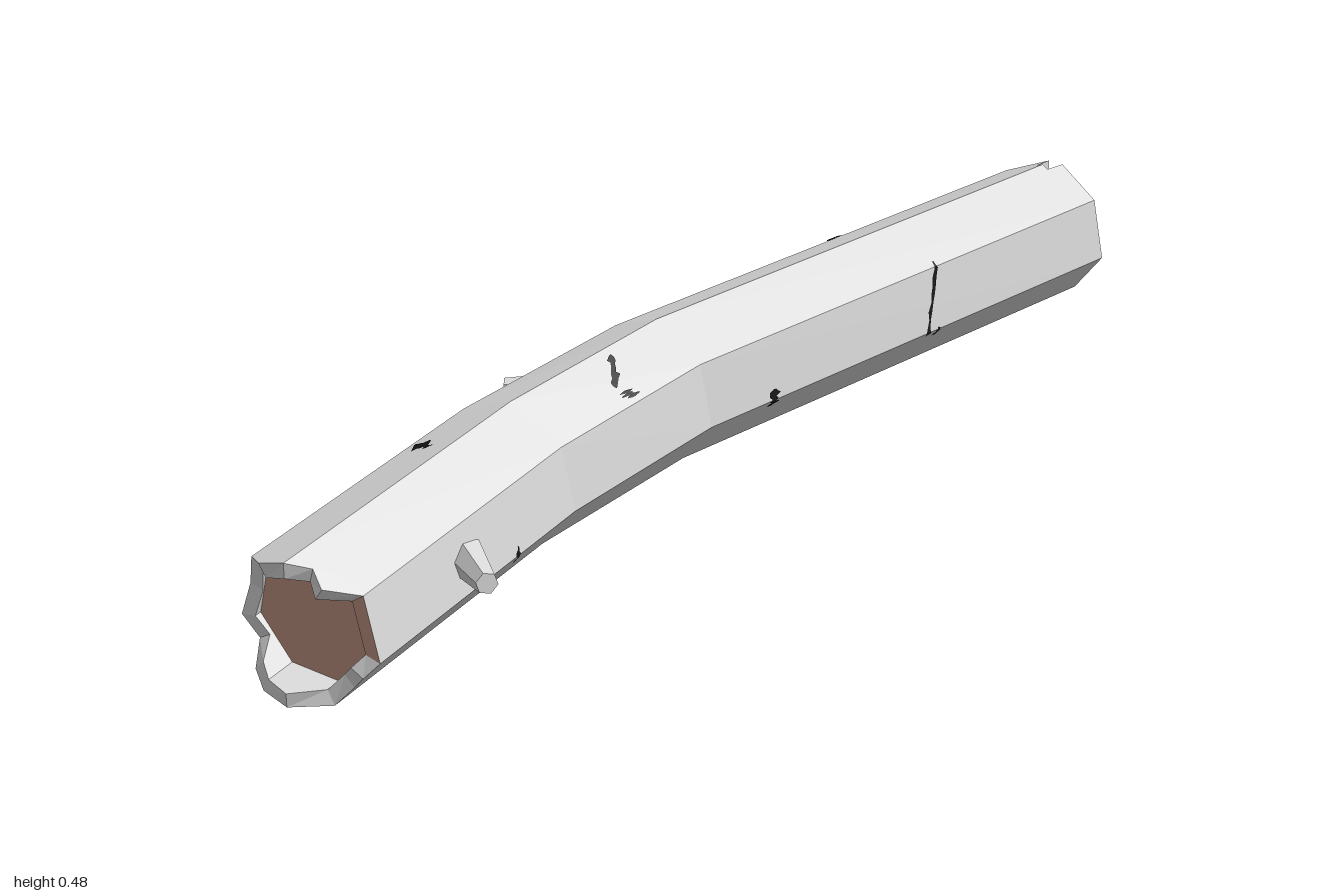
import * as THREE from 'three';

const SIDES = 7, RADIUS = 0.138, INNER = 0.79;
const V = (x, y, z) => new THREE.Vector3(x, y, z);

// Centre line of the bent log, from the model's right end to its left end
const path = [V(-0.93, 0.143, 0.14), V(-0.425, 0.209, -0.04), V(-0.06, 0.257, -0.112), V(0.92, 0.355, -0.153)];

// A frame for each ring: tangent t, horizontal side s, upward u
const frames = path.map((p, i) => {
  const t = V(0, 0, 0);
  if (i > 0) t.add(p.clone().sub(path[i - 1]).normalize());
  if (i < path.length - 1) t.add(path[i + 1].clone().sub(p).normalize());
  t.normalize();
  const s = V(-t.z, 0, t.x).normalize();
  return { p, t, s, u: s.clone().cross(t) };
});

// Point on ring i; w counts corners around the ring (fractions lie on the edges)
function ringPoint(i, w, scale = 1, along = 0) {
  const f = frames[i], k = Math.floor(w);
  const corner = (n) => {
    const a = THREE.MathUtils.degToRad(33 - (n * 360) / SIDES);
    return f.p.clone().addScaledVector(f.s, Math.cos(a) * RADIUS * scale)
      .addScaledVector(f.u, Math.sin(a) * RADIUS * scale);
  };
  return corner(k).lerp(corner(k + 1), w - k).addScaledVector(f.t, along);
}

// Point on the bark between rings, by distance along x
function barkPoint(x, w, scale) {
  let i = 0;
  while (i < 2 && x > ringPoint(i + 1, w).x) i++;
  const a = ringPoint(i, w, scale), b = ringPoint(i + 1, w, scale);
  return a.clone().lerp(b, (x - a.x) / (b.x - a.x));
}

function quad(out, a, b, c, d) {
  for (const v of [a, b, c, a, c, d]) out.push(v.x, v.y, v.z);
}

function meshOf(name, positions, material) {
  const g = new THREE.BufferGeometry();
  g.setAttribute('position', new THREE.Float32BufferAttribute(positions, 3));
  g.computeVertexNormals();
  const m = new THREE.Mesh(g, material);
  m.name = name;
  return m;
}

export function createModel() {
  const group = new THREE.Group();
  group.name = 'log';
  const make = (name, color) => {
    const m = new THREE.MeshStandardMaterial({ color, flatShading: true, side: THREE.DoubleSide });
    m.name = name;
    return m;
  };
  const bark = make('pale bark', 0xdcdcdc);
  const wood = make('cut wood', 0xc99b89);
  const dark = make('dark bark scar', 0x151515);

  // Trunk walls
  const walls = [];
  for (let i = 0; i < path.length - 1; i++) {
    for (let k = 0; k < SIDES; k++) {
      quad(walls, ringPoint(i, k), ringPoint(i, k + 1), ringPoint(i + 1, k + 1), ringPoint(i + 1, k));
    }
  }
  group.add(meshOf('trunk', walls, bark));

  // Broken rim and recessed wood face at each end; rim pairs are [corner, length]
  function addEnd(side, ring, dir, rim) {
    const lip = [], torn = [];
    rim.forEach(([w0, l0], j) => {
      const last = j === rim.length - 1;
      const w1 = last ? rim[0][0] + SIDES : rim[j + 1][0];
      const l1 = last ? rim[0][1] : rim[j + 1][1];
      const p = (w, sc, l) => ringPoint(ring, w, sc, l * dir);
      const strip = (out, a, b, c, d) => (dir > 0 ? quad(out, a, b, c, d) : quad(out, d, c, b, a));
      const o0 = p(w0, 1, l0), o1 = p(w1, 1, l1), n0 = p(w0, INNER, l0), n1 = p(w1, INNER, l1);
      strip(lip, p(w0, 1, 0), p(w1, 1, 0), o1, o0);
      strip(lip, n0, n1, p(w1, INNER, 0), p(w0, INNER, 0));
      strip(l0 + l1 < 0.012 ? torn : lip, o0, o1, n1, n0);
    });
    group.add(meshOf(side + 'BrokenRim', lip, bark), meshOf(side + 'TornWood', torn, wood));

    const face = [], c = frames[ring].p.clone().addScaledVector(frames[ring].t, 0.002 * dir);
    for (let k = 0; k < SIDES; k++) {
      const a = ringPoint(ring, k, INNER, 0.002 * dir), b = ringPoint(ring, k + 1, INNER, 0.002 * dir);
      for (const v of dir > 0 ? [c, b, a] : [c, a, b]) face.push(v.x, v.y, v.z);
    }
    group.add(meshOf(side + 'WoodFace', face, wood));
  }
  addEnd('left', 3, 1, [
    [0, 0.04], [1, 0.042], [2, 0.05], [2.82, 0.055], [2.84, 0.004], [3, 0.004], [3.12, 0.004], [3.14, 0.075],
    [3.4, 0.05], [4, 0.015], [5, 0.015], [5.84, 0.04], [5.86, 0.004], [6, 0.004], [6.12, 0.004], [6.14, 0.045],
  ]);
  addEnd('right', 0, -1, [
    [0, 0.004], [1, 0.004], [1.3, 0.02], [1.6, 0.015], [2, 0.03], [2.5, 0.075], [3, 0.06], [3.3, 0.05],
    [3.6, 0.01], [4, 0.015], [4.5, 0.004], [5, 0.012], [5.4, 0.045], [6, 0.06], [6.3, 0.03], [6.6, 0.05],
  ]);

  // Branch stubs
  function addStub(name, from, to, r0, r1) {
    const dir = to.clone().sub(from);
    const m = new THREE.Mesh(new THREE.CylinderGeometry(r1, r0, dir.length(), 6), bark);
    m.position.copy(from).lerp(to, 0.5);
    m.quaternion.setFromUnitVectors(V(0, 1, 0), dir.normalize());
    m.name = name;
    group.add(m);
  }
  addStub('frontBranchStub', V(-0.655, 0.183, 0.16), V(-0.692, 0.187, 0.277), 0.034, 0.019);
  addStub('backBranchStub', V(-0.19, 0.265, -0.17), V(-0.297, 0.268, -0.255), 0.034, 0.018);

  // Ragged dark scars lying on the bark: [x start, x end, corner start, corner end, half width]
  let seed = 7;
  const rand = () => (seed = (seed * 16807) % 2147483647) / 2147483647;
  const scars = [
    [0.525, 0.49, -0.1, 1.05, 0.005], [0.105, 0.108, 0.82, 1.15, 0.011], [-0.54, -0.545, 0.85, 1.2, 0.005],
    [-0.21, -0.235, -0.85, -0.35, 0.009], [-0.61, -0.605, -1.85, -1.4, 0.013], [0.45, 0.455, -2.2, -1.85, 0.011],
    [-0.225, -0.22, -0.25, -0.1, 0.012], [0.52, 0.515, 0.95, 1.15, 0.005],
  ];
  scars.forEach(([x0, x1, w0, w1, half], n) => {
    const out = [], stops = new Set([w1]);
    for (let j = 0; j < 9; j++) stops.add(w0 + ((w1 - w0) * j) / 9);
    for (let k = Math.ceil(w0); k < w1; k++) stops.add(k);
    let before = null;
    for (const w of [...stops].sort((a, b) => a - b)) {
      const q = (w - w0) / (w1 - w0), x = x0 + (x1 - x0) * q + (rand() - 0.5) * half;
      const h = half * (0.35 + 0.9 * rand()) * (q === 0 || q === 1 ? 0.3 : 1);
      const now = [barkPoint(x - h, w, 1.018), barkPoint(x + h, w, 1.018)];
      if (before) quad(out, before[0], now[0], now[1], before[1]);
      before = now;
    }
    group.add(meshOf('barkScar' + (n + 1), out, dark));
  });

  return group;
}
